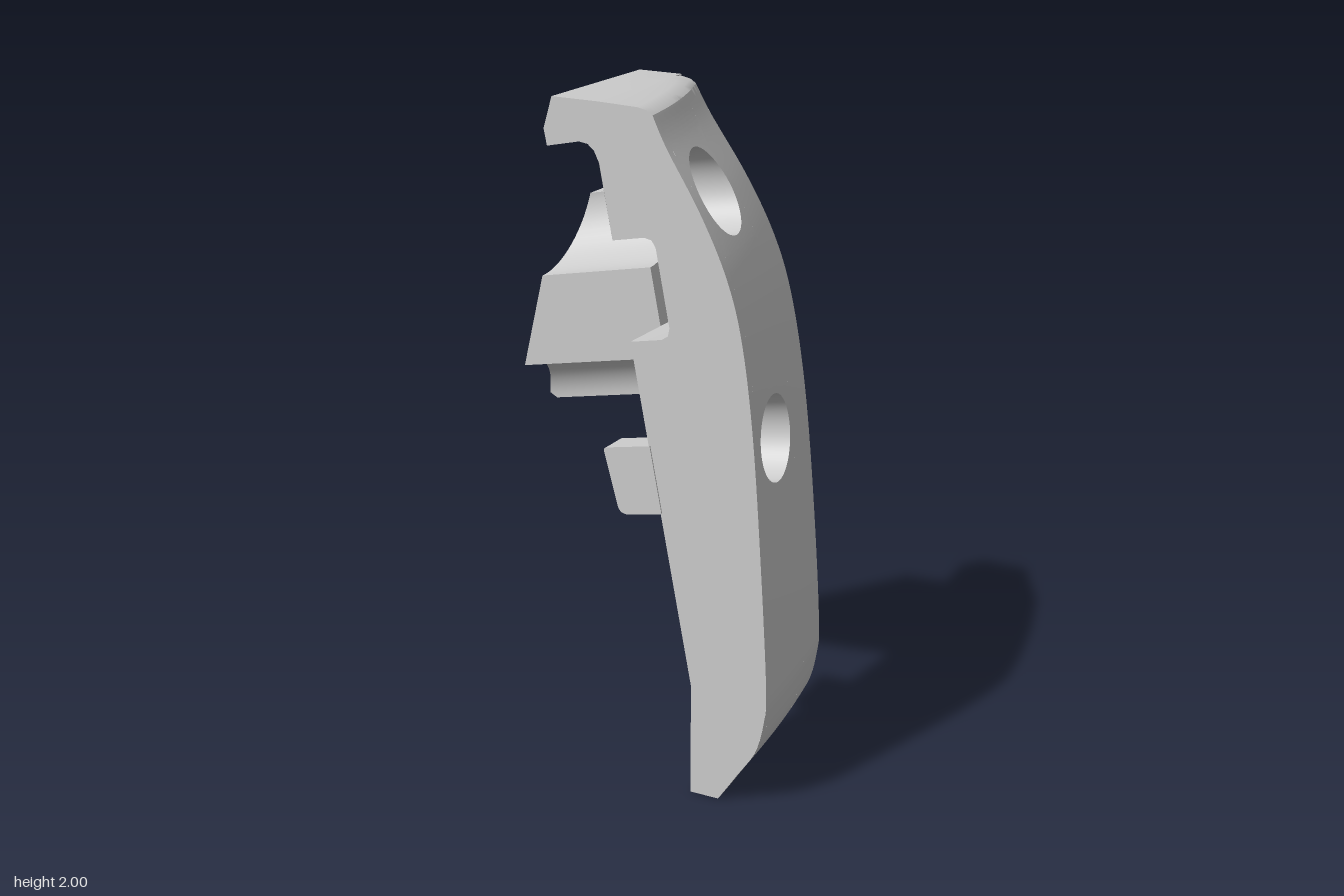
import * as THREE from 'three';
import { mergeGeometries, toCreasedNormals } from 'three/addons/utils/BufferGeometryUtils.js';

const V2 = (x, y) => new THREE.Vector2(x, y);
const lerp = THREE.MathUtils.lerp;
const Z0 = -0.25, Z1 = 0.245, TOP = 1.975;

// Tilted frame: u points out through the body, v runs up its flat inner face
const U = new THREE.Vector3(0.982, 0.189, 0), V = new THREE.Vector3(-0.189, 0.982, 0), Z = new THREE.Vector3(0, 0, 1);
const O = new THREE.Vector3(0.225, 0.34, 0);
const local = (u, v, z) => new THREE.Vector3(0, 0, z).add(O).addScaledVector(U, u).addScaledVector(V, v);
const frame = (a, b, c) => new THREE.Matrix4().makeBasis(a, b, c).setPosition(O);

// Outer curve of the body: x for a height y, leaning inwards towards the back
const outer = new THREE.SplineCurve([[0.315, 0], [0.375, 0.09], [0.432, 0.178], [0.458, 0.28], [0.463, 0.386],
  [0.44, 0.757], [0.41, 1.127], [0.373, 1.39], [0.325, 1.56], [0.246, 1.725], [0.145, 1.89], [0.103, TOP]]
  .map(p => V2(...p))).getPoints(220);
const lean = (y, z) => {
  const t = (Z1 - z) / (Z1 - Z0);
  return (0.5 * t + 0.5 * t * t) * (0.06 + 0.07 * (y / 2) ** 3);
};
function outerX(y, z) {
  let i = 1;
  while (i < outer.length - 1 && outer[i].y < y) i++;
  const a = outer[i - 1], b = outer[i];
  return lerp(a.x, b.x, (y - a.y) / (b.y - a.y)) - lean(y, z);
}
const onOuter = (y, z) => new THREE.Vector3(outerX(y, z), y, z);
// Rounded lower back corner
const bottomY = z => z > -0.05 ? 0 : 0.2 - Math.sqrt(Math.max(0, 0.04 - (z + 0.05) ** 2));

// Surface patch from fn(a, b), a and b in 0..1
function grid(fn, na, nb) {
  const pos = [], idx = [];
  for (let i = 0; i <= na; i++) for (let j = 0; j <= nb; j++) pos.push(...fn(i / na, j / nb).toArray());
  for (let i = 0; i < na; i++) for (let j = 0; j < nb; j++) {
    const p = i * (nb + 1) + j, q = p + nb + 1;
    idx.push(p, q, q + 1, p, q + 1, p + 1);
  }
  const g = new THREE.BufferGeometry();
  g.setAttribute('position', new THREE.Float32BufferAttribute(pos, 3));
  g.setIndex(idx);
  return g;
}

function finish(name, parts) {
  const clean = parts.map(g => {
    const n = g.index ? g.toNonIndexed() : g;
    for (const k of ['uv', 'normal']) n.deleteAttribute(k);
    return n;
  });
  const mesh = new THREE.Mesh(toCreasedNormals(mergeGeometries(clean), 0.5),
    new THREE.MeshStandardMaterial({ color: 0xcccccc, side: THREE.DoubleSide }));
  mesh.name = name;
  return mesh;
}

const BORES = [1.387, 0.682], BORE_Z = 0.07, R_BIG = 0.125, R_SMALL = 0.075, SEAT = 0.1;

// Point of a counterbore's rim on the outer curve
function rim(vc, r, ang) {
  let t = 0.2, p;
  for (let k = 0; k < 14; k++) {
    p = local(t, vc + r * Math.cos(ang), BORE_Z + r * Math.sin(ang));
    t += 0.8 * (outerX(p.y, p.z) - p.x);
  }
  return p;
}

// Pocket in the front of the body, as (u, v) points walked downwards
const POCKET_Z = -0.1;
const pocket = [[0, 1.305], [0.1, 1.305], [0.121, 1.296], [0.13, 1.275], [0.13, 1.05], [0.121, 1.029], [0.1, 1.02], [0, 1.02]];
// Hook and top, walked from the outer curve to the inner face; 1 marks points that lean
const hook = [[0.103, TOP, 1], [0.085, 1.987, 1], [0.055, 1.993, 1], [-0.07, 1.998, 0], [-0.208, 2, 0], [-0.235, 1.91, 0],
  [-0.225, 1.863, 0], [-0.124, 1.884, 0], [-0.097, 1.88, 0], [-0.077, 1.863, 0], [-0.061, 1.83, 0]];
const hookPoint = (p, z) => new THREE.Vector3(p[0] - p[2] * lean(TOP, z), p[1], z);

// Outline of an end face
function outline(z, notch) {
  const y0 = bottomY(z), pts = [V2(0.225, y0)];
  for (let i = 0; i < 60; i++) {
    const y = lerp(y0, TOP, i / 60);
    pts.push(V2(outerX(y, z), y));
  }
  for (const p of hook) { const q = hookPoint(p, z); pts.push(V2(q.x, q.y)); }
  if (notch) for (const [u, v] of pocket) { const q = local(u, v, z); pts.push(V2(q.x, q.y)); }
  pts.push(V2(0.225, 0.34));
  return pts;
}

function makeBody() {
  const parts = [], half = 0.145, zb = BORE_Z - half, zc = BORE_Z + half;
  const zAt = b => lerp(Z0, Z1, b), zRound = b => lerp(Z0, Z1, b * b);

  // Outer curve: full strips beside the holes, pieces between them
  parts.push(grid((a, b) => { const z = lerp(Z0, zb, b * b); return onOuter(lerp(bottomY(z), TOP, a), z); }, 90, 16));
  parts.push(grid((a, b) => onOuter(lerp(0, TOP, a), lerp(zc, Z1, b)), 90, 2));
  const centres = BORES.map(v => rim(v, 0, 0).y);
  const spans = [[0, centres[1] - half], [centres[1] + half, centres[0] - half], [centres[0] + half, TOP]];
  for (const [y0, y1] of spans)
    parts.push(grid((a, b) => { const z = lerp(zb, zc, b); return onOuter(lerp(Math.max(y0, bottomY(z)), y1, a), z); }, 36, 14));

  // Counterbored holes with the square patch around each
  BORES.forEach((vc, i) => {
    const ring = (u, r, t) => local(u, vc + r * Math.cos(t), BORE_Z + r * Math.sin(t));
    const T = 2 * Math.PI;
    parts.push(grid((a, b) => {
      const t = b * T, c = Math.cos(t), s = Math.sin(t), k = half / Math.max(Math.abs(c), Math.abs(s));
      const p = rim(vc, R_BIG, t);
      return onOuter(lerp(p.y, centres[i] + k * c, a), lerp(p.z, BORE_Z + k * s, a));
    }, 4, 48));
    parts.push(grid((a, b) => rim(vc, R_BIG, a * T).lerp(ring(SEAT, R_BIG, a * T), b), 48, 1));
    parts.push(grid((a, b) => ring(SEAT, lerp(R_SMALL, R_BIG, a), b * T), 1, 48));
    parts.push(grid((a, b) => ring(lerp(SEAT, 0, b), R_SMALL, a * T), 48, 1));
  });

  // Top and hook, lower inner face, bottom
  parts.push(grid((a, b) => hookPoint(hook[Math.round(a * (hook.length - 1))], zAt(b)), hook.length - 1, 12));
  parts.push(grid((a, b) => { const z = zRound(b); return new THREE.Vector3(0.225, lerp(0.34, bottomY(z), a), z); }, 1, 40));
  parts.push(grid((a, b) => {
    const z = zRound(b), y = bottomY(z);
    return new THREE.Vector3(lerp(0.225, outerX(y, z), a), y, z);
  }, 1, 40));

  // Flat inner face with bores and the pocket's mouth
  const inner = new THREE.Shape([[Z0, 0], [Z1, 0], [Z1, 1.02], [POCKET_Z, 1.02], [POCKET_Z, 1.305], [Z1, 1.305], [Z1, 1.517], [Z0, 1.517]]
    .map(p => V2(...p)));
  for (const v of BORES) inner.holes.push(new THREE.Path().absarc(BORE_Z, v, R_SMALL, 0, 2 * Math.PI, true));
  parts.push(new THREE.ShapeGeometry(inner, 24).applyMatrix4(frame(Z, V, U.clone().negate())));

  // Pocket walls and floor
  parts.push(grid((a, b) => {
    const [u, v] = pocket[Math.round(a * (pocket.length - 1))];
    return local(u, v, lerp(POCKET_Z, Z1, b));
  }, pocket.length - 1, 1));
  parts.push(new THREE.ShapeGeometry(new THREE.Shape(pocket.map(p => V2(...p)))).translate(0, 0, POCKET_Z).applyMatrix4(frame(U, V, Z)));

  // Front and back ends
  parts.push(new THREE.ShapeGeometry(new THREE.Shape(outline(Z1, true))).translate(0, 0, Z1));
  const back = outline(Z0, false).map(p => V2(-p.x, p.y));
  parts.push(new THREE.ShapeGeometry(new THREE.Shape(back)).rotateY(Math.PI).translate(0, 0, Z0));
  return finish('body', parts);
}

// Side plate whose raised block flows into it through two hollow fillets
function makePlate() {
  const lo = 0.774, hi = 1.387, face = 0.07, flat = -0.125, r = 0.03, N = 14;
  const pts = [V2(hi, Z0), V2(hi, flat)];
  for (let i = 1; i <= N; i++) {
    const t = i / N * Math.PI / 2;
    pts.push(V2(hi - 0.197 * Math.sin(t), face - 0.195 * Math.cos(t)));
  }
  for (let i = N; i >= 0; i--) {
    const t = i / N * Math.PI / 2;
    pts.push(V2(lo + 0.153 * Math.sin(t), 0.03 - 0.155 * Math.cos(t)));
  }
  pts.splice(2 + N, 0, V2(0.927, face));
  for (let i = 0; i <= 6; i++) pts.push(V2(lo + r * (1 - Math.cos(i / 6 * Math.PI / 2)), Z0));
  const g = new THREE.ExtrudeGeometry(new THREE.Shape(pts), { depth: 1, bevelEnabled: false });
  // Slanted free end with a rounded lower corner
  const p = g.attributes.position;
  for (let i = 0; i < p.count; i++) {
    const v = p.getX(i), d = Math.max(0, lo + r - v);
    const end = -0.273 - 0.45 * (hi - v) + r - Math.sqrt(Math.max(0, r * r - d * d));
    p.setZ(i, lerp(end, 0, p.getZ(i)));
  }
  return finish('sidePlate', [g.applyMatrix4(frame(V, Z, U))]);
}

// Small locating tab near the front
function makeTab() {
  const s = new THREE.Shape();
  s.moveTo(0.005, 0.52);
  s.lineTo(0.005, 0.72);
  s.lineTo(-0.135, 0.72);
  s.quadraticCurveTo(-0.146, 0.72, -0.146, 0.709);
  s.lineTo(-0.134, 0.55);
  s.quadraticCurveTo(-0.132, 0.52, -0.1, 0.52);
  const g = new THREE.ExtrudeGeometry(s, { depth: 0.09, bevelEnabled: false, curveSegments: 6 });
  return finish('locatingTab', [g.translate(0, 0, 0.159).applyMatrix4(frame(U, V, Z))]);
}

export function createModel() {
  const model = new THREE.Group();
  model.name = 'gripBracket';
  model.add(makeBody(), makePlate(), makeTab());
  return model;
}
